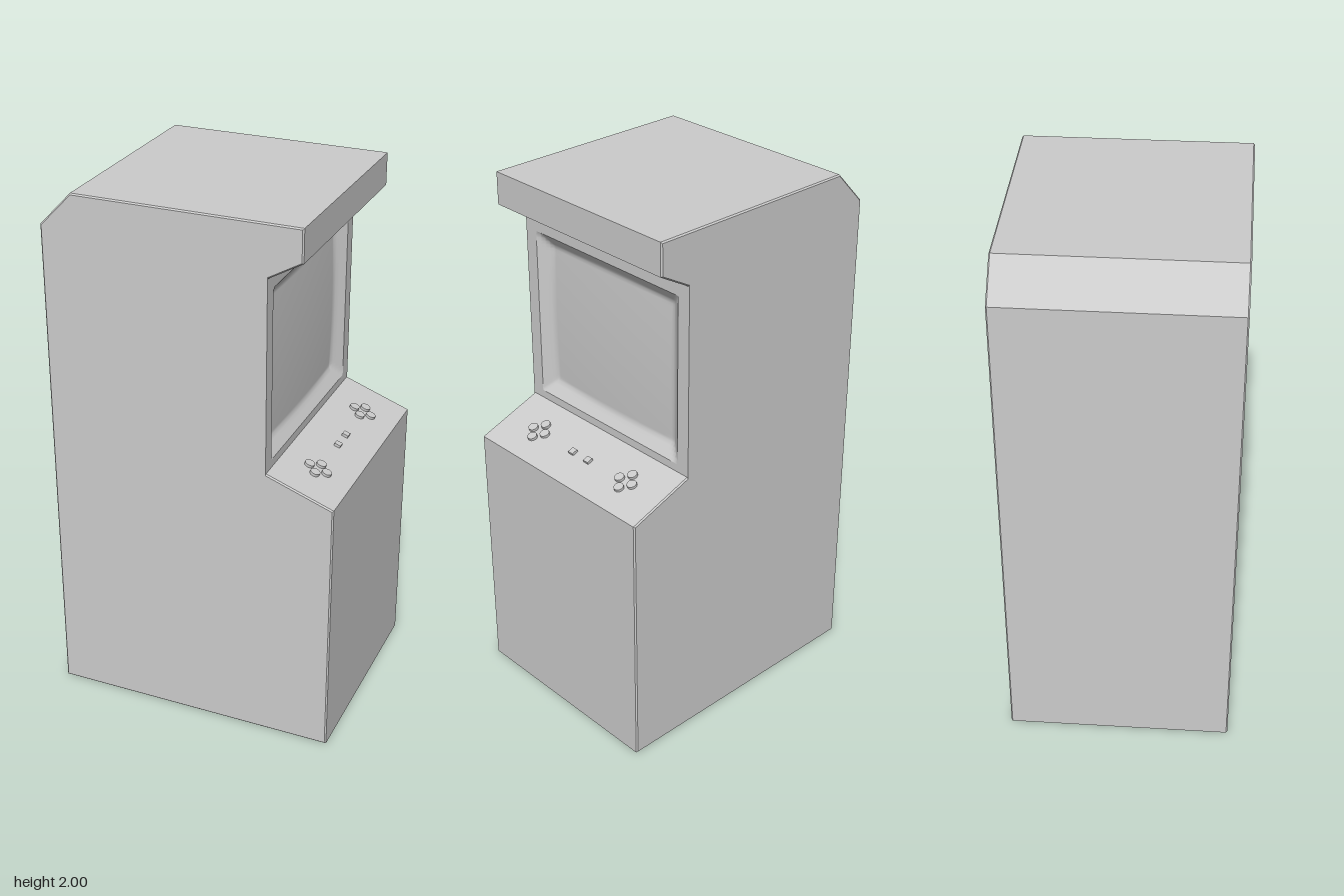
import * as THREE from 'three';

const grey = new THREE.MeshStandardMaterial({ color: 0xcccccc });
const HALF = 0.415; // half width of the cabinet along z
const FACE = 0.29; // x of the screen surround

function add(parent, name, geometry) {
  const mesh = new THREE.Mesh(geometry, grey);
  mesh.name = name;
  parent.add(mesh);
  return mesh;
}

// Side outline extruded across the width, with a fine bevel on the edges
function cabinetGeometry() {
  const bevel = 0.005, back = FACE - 0.045;
  const outline = [
    [-0.54, 0], [0.54, 0], [0.54, 1.0], [FACE, 1.09], [back, 1.09], [back, 1.81],
    [FACE, 1.81], [0.412, 1.88], [0.412, 2], [-0.42, 2], [-0.54, 1.875],
  ].map(([x, y]) => new THREE.Vector2(x, y));
  const depth = 2 * (HALF - bevel);
  return new THREE.ExtrudeGeometry(new THREE.Shape(outline), {
    depth, bevelThickness: bevel, bevelSize: bevel, bevelOffset: -bevel, bevelSegments: 1,
  }).translate(0, 0, -depth / 2);
}

function rectangle(Type, halfW, y0, y1) {
  return new Type([[-halfW, y0], [halfW, y0], [halfW, y1], [-halfW, y1]]
    .map(([x, y]) => new THREE.Vector2(x, y)));
}

// Flat frame around the screen opening
function surroundGeometry() {
  const shape = rectangle(THREE.Shape, HALF, 1.08, 1.82);
  shape.holes.push(rectangle(THREE.Path, 0.362, 1.12, 1.76));
  return new THREE.ExtrudeGeometry(shape, { depth: 0.055, bevelEnabled: false })
    .rotateY(Math.PI / 2).translate(FACE - 0.055, 0, 0);
}

// Sloping rim that runs into a gently bulging tube face
function screenGeometry() {
  const w = 0.724, h = 0.64;
  const geometry = new THREE.PlaneGeometry(w, h, 56, 52);
  const p = geometry.attributes.position;
  for (let i = 0; i < p.count; i++) {
    const u = p.getX(i) / (w / 2), v = p.getY(i) / (h / 2);
    const edge = Math.min((1 - Math.abs(u)) * w / 2, (1 - Math.abs(v)) * h / 2);
    const rim = -0.7 * edge;
    const tube = -0.025 - 0.008 * (u * u + v * v);
    p.setZ(i, Math.max(rim, tube));
  }
  geometry.computeVertexNormals();
  return geometry.rotateY(Math.PI / 2).translate(FACE, 1.44, 0);
}

export function createModel() {
  const model = new THREE.Group();
  model.name = 'arcadeCabinet';
  add(model, 'cabinet', cabinetGeometry());
  add(model, 'screenSurround', surroundGeometry());
  add(model, 'screen', screenGeometry());

  // Controls lie on the sloping panel: local x runs down the slope
  const controls = new THREE.Group();
  controls.name = 'controls';
  controls.position.set(0.415, 1.045, 0);
  controls.rotation.z = -Math.atan2(0.09, 0.25);
  model.add(controls);

  const button = new THREE.CylinderGeometry(0.018, 0.018, 0.02, 24);
  for (const side of [-1, 1]) {
    const cluster = new THREE.Group();
    cluster.name = side > 0 ? 'rearButtons' : 'frontButtons';
    cluster.name = side > 0 ? 'leftHandButtons' : 'rightHandButtons';
    cluster.position.z = side * 0.236;
    controls.add(cluster);
    for (const [x, z] of [[0.034, 0], [-0.034, 0], [0, 0.032], [0, -0.032]]) {
      add(cluster, 'button', button).position.set(x, 0, z);
    }
    add(controls, 'startButton', new THREE.BoxGeometry(0.024, 0.02, 0.024))
      .position.set(0.004, 0, side * 0.041);
  }
  return model;
}
